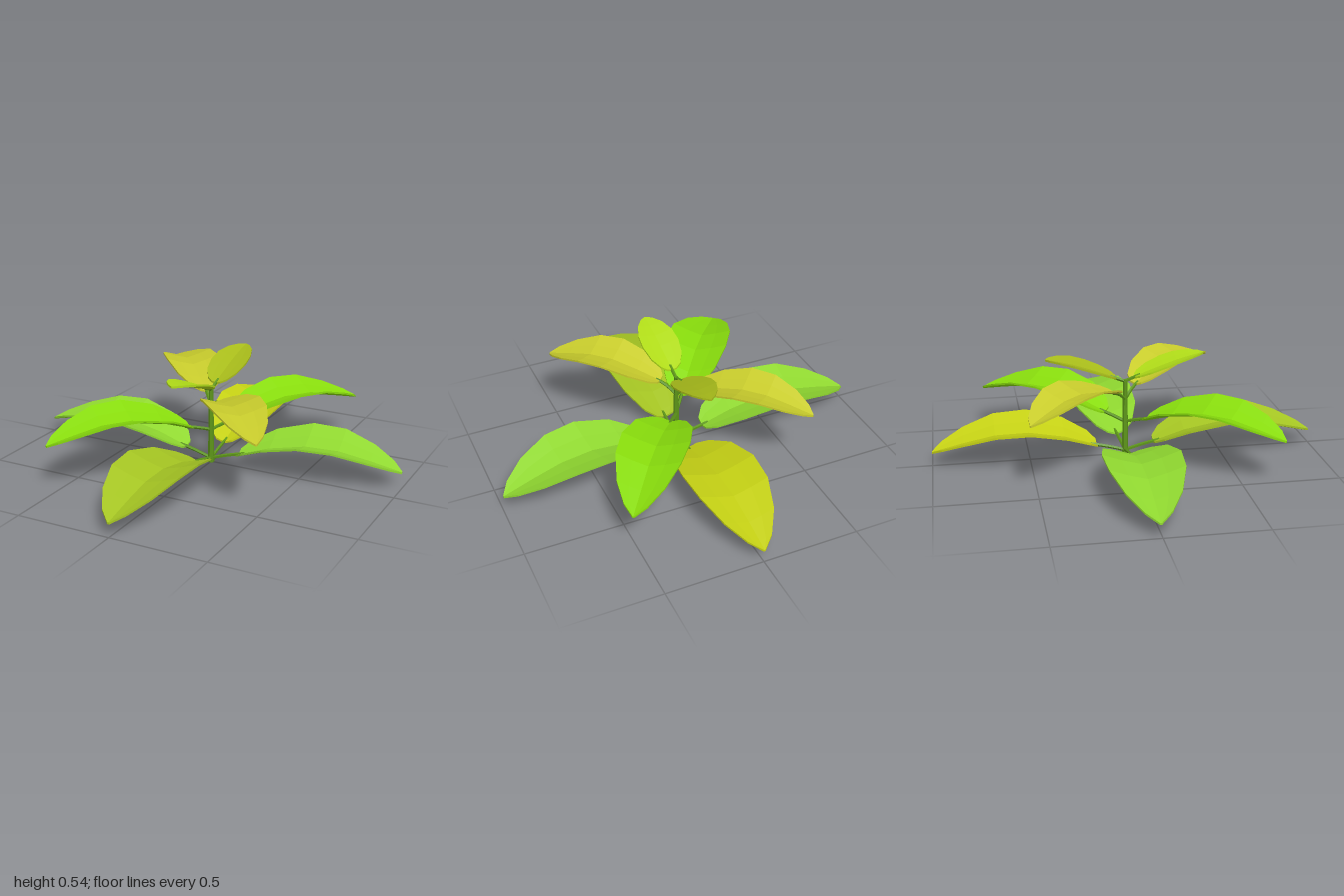
import * as THREE from 'three';

// Shared leaf outline: [position along the blade, fraction of the half-width]
const OUTLINE = [[0, 0.25], [0.05, 0.53], [0.2, 0.85], [0.42, 1], [0.62, 0.94], [0.81, 0.68], [0.94, 0.33], [1, 0.03]];
const SIDES = [-1, -0.5, 0, 0.5, 1];

function material(color) {
  return new THREE.MeshStandardMaterial({ color, flatShading: true });
}

// Thin folded blade along +z; rib is a list of [distance, height] along the midrib
function bladeGeometry({ rib, halfWidth, fold }) {
  const curve = new THREE.SplineCurve(rib.map(([r, y]) => new THREE.Vector2(r, y)));
  const positions = [], index = [];
  const cols = SIDES.length, ring = cols * 2;
  for (const [u, w] of OUTLINE) {
    const p = curve.getPointAt(u);
    const half = w * halfWidth;
    const row = (drop, sides) => sides.forEach((s) =>
      positions.push(s * half, p.y + fold * half * Math.abs(s) ** 1.2 - drop, p.x));
    row(0, SIDES);
    row(0.01, [...SIDES].reverse());
  }
  const rows = OUTLINE.length;
  for (let i = 0; i < rows - 1; i++) {
    for (let j = 0; j < ring; j++) {
      const a = i * ring + j, b = i * ring + (j + 1) % ring;
      index.push(a, a + ring, b, b, a + ring, b + ring);
    }
  }
  // Close the base and the tip
  const last = (rows - 1) * ring;
  for (let j = 0; j < cols - 1; j++) {
    const k = ring - 1 - j;
    index.push(j, j + 1, k, j + 1, k - 1, k);
    index.push(last + j, last + k, last + j + 1, last + j + 1, last + k, last + k - 1);
  }
  const geometry = new THREE.BufferGeometry();
  geometry.setAttribute('position', new THREE.Float32BufferAttribute(positions, 3));
  geometry.setIndex(index);
  geometry.computeVertexNormals();
  return geometry;
}

// Leaf tiers from the ground up; each leaf is [tip x, tip z, color]
const TIERS = [
  {
    name: 'lowerLeaf', rib: [[0.15, 0.06], [0.32, 0.115], [0.5, 0.148], [0.66, 0.147], [0.83, 0.115], [1, 0.075]],
    halfWidth: 0.192, fold: 0.31, root: 0.02,
    leaves: [[0, 1, 0xa4c422], [0, -1, 0xc4d014], [0.98, -0.15, 0x90d830], [-0.98, -0.01, 0x90d830]],
  },
  {
    name: 'middleLeaf', rib: [[0.12, 0.215], [0.27, 0.265], [0.42, 0.295], [0.6, 0.295], [0.75, 0.265], [0.885, 0.235]],
    halfWidth: 0.17, fold: 0.34, root: 0.18,
    leaves: [[0.53, -0.71, 0x88dc0c], [-0.545, 0.7, 0x88dc0c]],
  },
  {
    name: 'upperLeaf', rib: [[0.09, 0.365], [0.2, 0.395], [0.33, 0.425], [0.46, 0.43], [0.6, 0.405], [0.73, 0.375]],
    halfWidth: 0.142, fold: 0.3, root: 0.3,
    leaves: [[-0.5, -0.53, 0xc8cc2c], [0.505, 0.53, 0xc8cc2c]],
  },
  {
    name: 'topLeaf', rib: [[0.05, 0.425], [0.2, 0.48], [0.3, 0.512], [0.41, 0.538]],
    halfWidth: 0.1, fold: 0.2, root: 0.4,
    leaves: [[0, 1, 0xb0dc18], [0, -1, 0xa8bc1a]],
  },
];

export function createModel() {
  const plant = new THREE.Group();
  plant.name = 'plant';
  const stemMaterial = material(0x5c9418);

  // Upright central stem
  const stem = new THREE.Mesh(new THREE.CylinderGeometry(0.011, 0.017, 0.41, 6), stemMaterial);
  stem.name = 'stem';
  stem.position.y = 0.205;
  plant.add(stem);

  for (const tier of TIERS) {
    const blade = bladeGeometry(tier);
    // Leaf stalk running from the stem into the base of the blade
    const [start, next] = tier.rib;
    const stalk = new THREE.TubeGeometry(new THREE.QuadraticBezierCurve3(
      new THREE.Vector3(0, tier.root, 0),
      new THREE.Vector3(0, start[1] - 0.012, start[0] * 0.55),
      new THREE.Vector3(0, start[1] + (next[1] - start[1]) * 0.2 - 0.004, start[0] + (next[0] - start[0]) * 0.2),
    ), 4, 0.009, 5);

    for (const [x, z, color] of tier.leaves) {
      const leaf = new THREE.Group();
      leaf.name = tier.name;
      const bladeMesh = new THREE.Mesh(blade, material(color));
      bladeMesh.name = tier.name + 'Blade';
      const stalkMesh = new THREE.Mesh(stalk, stemMaterial);
      stalkMesh.name = tier.name + 'Stalk';
      leaf.add(bladeMesh, stalkMesh);
      leaf.rotation.y = Math.atan2(x, z);
      plant.add(leaf);
    }
  }
  return plant;
}
